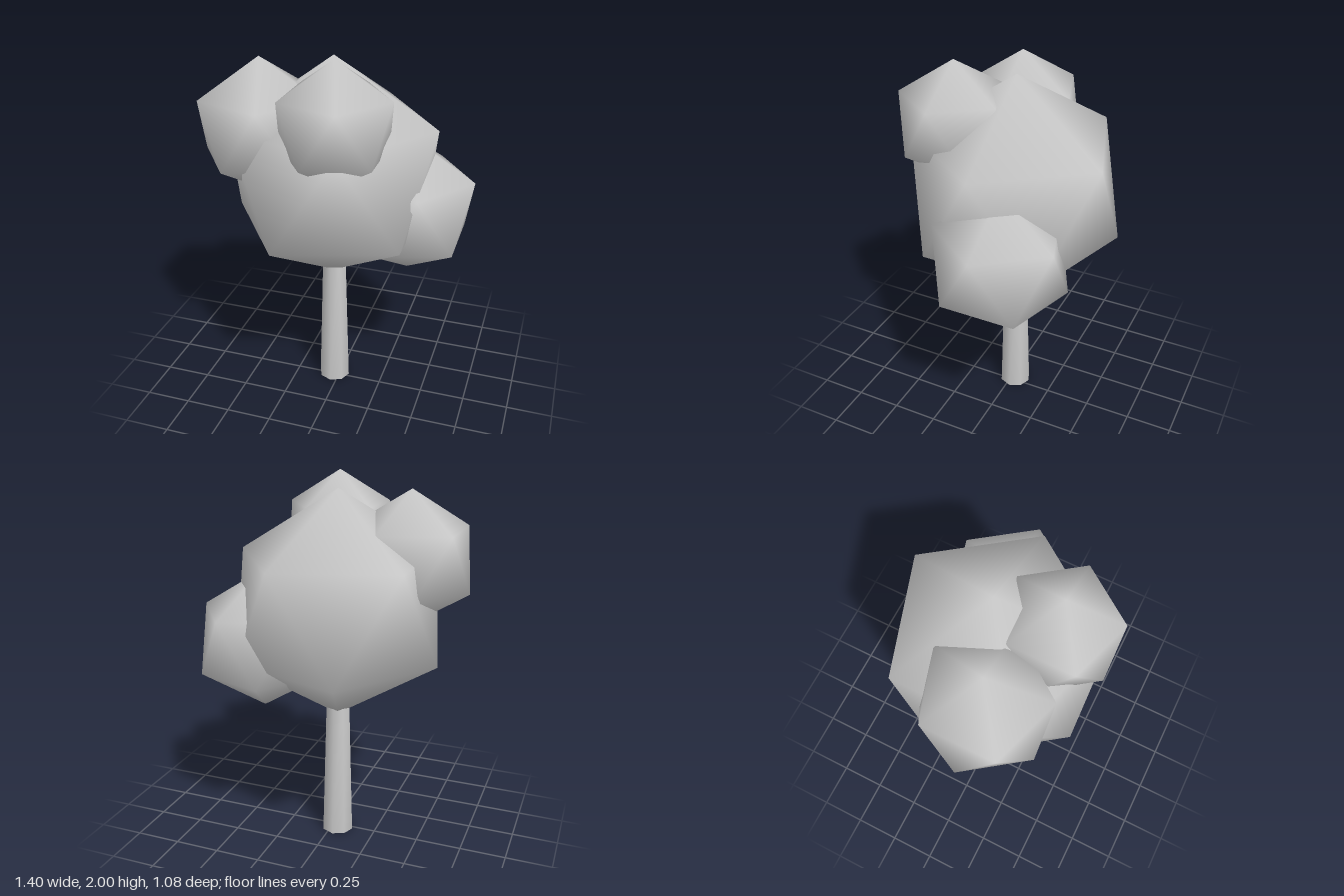
import * as THREE from 'three';
import { mergeVertices } from 'three/addons/utils/BufferGeometryUtils.js';
import { ConvexGeometry } from 'three/addons/geometries/ConvexGeometry.js';

const material = new THREE.MeshStandardMaterial({ color: 0xcccccc });

// Twelve-point ball standing on a pole: two staggered rings of five, shaded smooth
function ballGeometry() {
  const points = [new THREE.Vector3(0, 1, 0), new THREE.Vector3(0, -1, 0)];
  const h = 1 / Math.sqrt(5), r = 2 * h;
  for (let i = 0; i < 5; i++) {
    const a = (i * 2 * Math.PI) / 5;
    points.push(new THREE.Vector3(r * Math.cos(a), h, r * Math.sin(a)));
    points.push(new THREE.Vector3(-r * Math.cos(a), -h, -r * Math.sin(a)));
  }
  const geometry = new ConvexGeometry(points);
  geometry.setAttribute('normal', geometry.attributes.position.clone());
  geometry.normalizeNormals();
  return geometry;
}

// Tapered eight-sided trunk with normals blended over the rims
function trunkGeometry(topRadius, bottomRadius, height) {
  const geometry = new THREE.CylinderGeometry(topRadius, bottomRadius, height, 8);
  geometry.deleteAttribute('normal');
  geometry.deleteAttribute('uv');
  const smooth = mergeVertices(geometry);
  smooth.computeVertexNormals();
  return smooth.translate(0, height / 2, 0);
}

export function createModel() {
  const tree = new THREE.Group();
  tree.name = 'tree';

  const trunk = new THREE.Mesh(trunkGeometry(0.063, 0.089, 0.9), material);
  trunk.name = 'trunk';
  trunk.position.set(-0.033, 0, -0.02);
  tree.add(trunk);

  // Foliage clumps: name, radius, centre
  const ball = ballGeometry();
  const clumps = [
    ['mainFoliage', 0.612, [-0.033, 1.327, -0.02]],
    ['leftFoliage', 0.38, [0.36, 1.13, -0.12]],
    ['rightFoliage', 0.357, [-0.381, 1.58, 0.107]],
    ['frontFoliage', 0.318, [0.066, 1.682, 0.273]],
  ];
  for (const [name, radius, centre] of clumps) {
    const clump = new THREE.Mesh(ball, material);
    clump.name = name;
    clump.scale.setScalar(radius);
    clump.position.set(...centre);
    tree.add(clump);
  }
  return tree;
}
